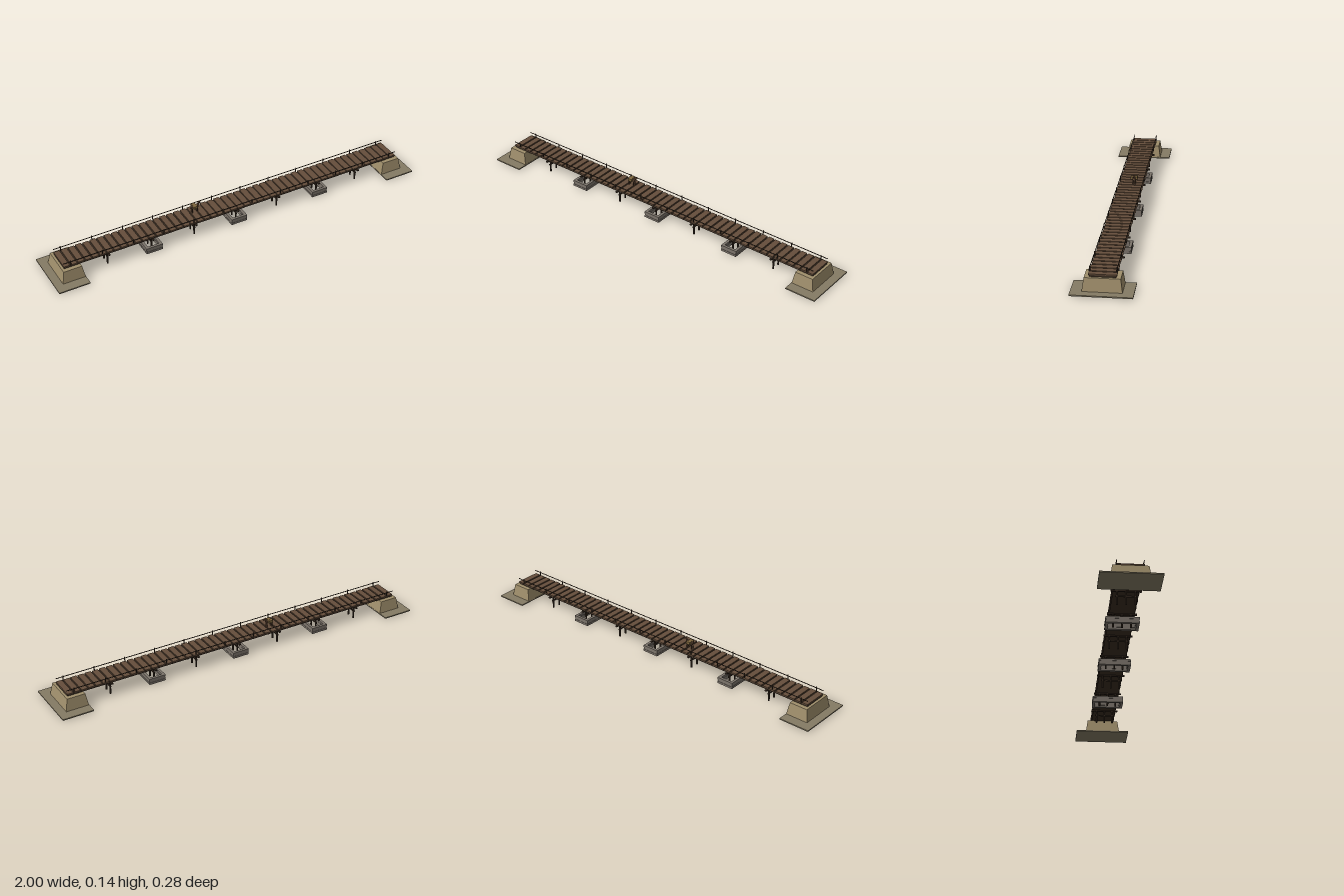
import * as THREE from 'three';

const mat = (color) => new THREE.MeshStandardMaterial({ color, flatShading: true });
const stone = mat(0xa08f6c), earth = mat(0x857b64), plankWood = mat(0x654e3b);
const darkWood = mat(0x3a2d22), rock = mat(0x7c746b), hide = mat(0x6b4f3a), basket = mat(0x80683f);

export function createModel() {
  const root = new THREE.Group();
  root.name = 'footbridge';

  const add = (parent, name, geometry, material, x, y, z) => {
    const mesh = new THREE.Mesh(geometry, material);
    mesh.name = name;
    mesh.position.set(x, y, z);
    parent.add(mesh);
    return mesh;
  };
  const box = (parent, name, material, w, h, d, x, y, z) =>
    add(parent, name, new THREE.BoxGeometry(w, h, d), material, x, y, z);
  const post = (parent, name, material, r, y0, y1, x, z) =>
    add(parent, name, new THREE.CylinderGeometry(r, r, y1 - y0, 6), material, x, (y0 + y1) / 2, z);
  const group = (name, x = 0) => {
    const g = new THREE.Group();
    g.name = name;
    g.position.x = x;
    root.add(g);
    return g;
  };

  // Banks and tapered stone abutments at both ends
  for (const s of [-1, 1]) {
    const end = group(s < 0 ? 'rightAbutment' : 'leftAbutment');
    box(end, 'bank', earth, 0.16, 0.006, 0.284, s * 0.92, 0.006, 0);
    const geo = new THREE.BoxGeometry(0.118, 0.064, 0.182);
    const p = geo.attributes.position;
    for (let i = 0; i < p.count; i++) {
      if (p.getY(i) > 0) p.setXYZ(i, p.getX(i) * 0.8, p.getY(i), p.getZ(i) * 0.9);
    }
    geo.computeVertexNormals();
    add(end, 'abutment', geo, stone, s * 0.9, 0.039, 0);
  }

  // Deck base with separate cross planks
  const deck = group('deck');
  box(deck, 'deckBase', darkWood, 1.87, 0.009, 0.12, 0, 0.0755, 0);
  const planks = 50, pitch = 1.88 / planks;
  for (let i = 0; i < planks; i++) {
    const x = (i - (planks - 1) / 2) * pitch;
    box(deck, 'plank', plankWood, pitch * 0.8, 0.005, i % 2 ? 0.128 : 0.125, x, 0.082, 0);
  }

  // Railings on both sides
  const railings = group('railings');
  for (const z of [-0.061, 0.061]) {
    for (let i = 0; i < 12; i++) {
      post(railings, 'railPost', darkWood, 0.0025, 0.078, 0.108, -0.9 + (i * 1.8) / 11, z);
    }
    const rail = post(railings, 'rail', darkWood, 0.002, -0.937, 0.937, 0, z);
    rail.rotation.z = Math.PI / 2;
    rail.position.y = 0.102;
  }

  // Timber trestles; every second one stands in an open stone crib
  for (let i = -3; i <= 3; i++) {
    const trestle = group('trestle', i * 0.235);
    for (const z of [-0.042, 0, 0.042]) post(trestle, 'trestlePost', darkWood, 0.0045, 0, 0.072, 0, z);
    box(trestle, 'capBeam', darkWood, 0.01, 0.007, 0.142, 0, 0.0695, 0);
    box(trestle, 'crossBrace', darkWood, 0.006, 0.006, 0.1, 0, 0.042, 0);
    if (i % 2 === 0) {
      // Courses of the crib walls, the middle one slightly set back
      [0.0105, 0.021, 0.0315].forEach((y, k) => {
        const inset = k === 1 ? 0.0015 : 0;
        for (const s of [-1, 1]) {
          box(trestle, 'cribSide', rock, 0.014, 0.0106, 0.16 - 2 * inset, s * (0.037 - inset), y, 0);
          box(trestle, 'cribEnd', rock, 0.062, 0.0106, 0.014, 0, y, s * (0.073 - inset));
        }
      });
    }
  }

  // Pack animal crossing the deck, facing +x
  const animal = group('packAnimal', -0.2);
  animal.position.z = -0.0155;
  box(animal, 'body', hide, 0.038, 0.013, 0.013, -0.002, 0.118, 0);
  for (const x of [-0.016, 0.012]) {
    for (const z of [-0.0055, 0.0055]) box(animal, 'leg', hide, 0.004, 0.03, 0.0035, x, 0.099, z);
  }
  box(animal, 'neck', hide, 0.007, 0.02, 0.006, 0.018, 0.127, 0).rotation.z = -0.5;
  box(animal, 'head', hide, 0.014, 0.006, 0.0065, 0.025, 0.134, 0).rotation.z = -0.35;
  for (const z of [-0.002, 0.002]) box(animal, 'ear', hide, 0.002, 0.006, 0.0015, 0.02, 0.139, z);
  box(animal, 'tail', hide, 0.002, 0.014, 0.002, -0.0225, 0.115, 0).rotation.z = -0.2;
  for (const z of [-0.0115, 0.0115]) box(animal, 'pannier', basket, 0.022, 0.014, 0.0115, -0.003, 0.12, z);
  box(animal, 'packSaddle', basket, 0.016, 0.003, 0.014, -0.003, 0.126, 0);

  return root;
}
